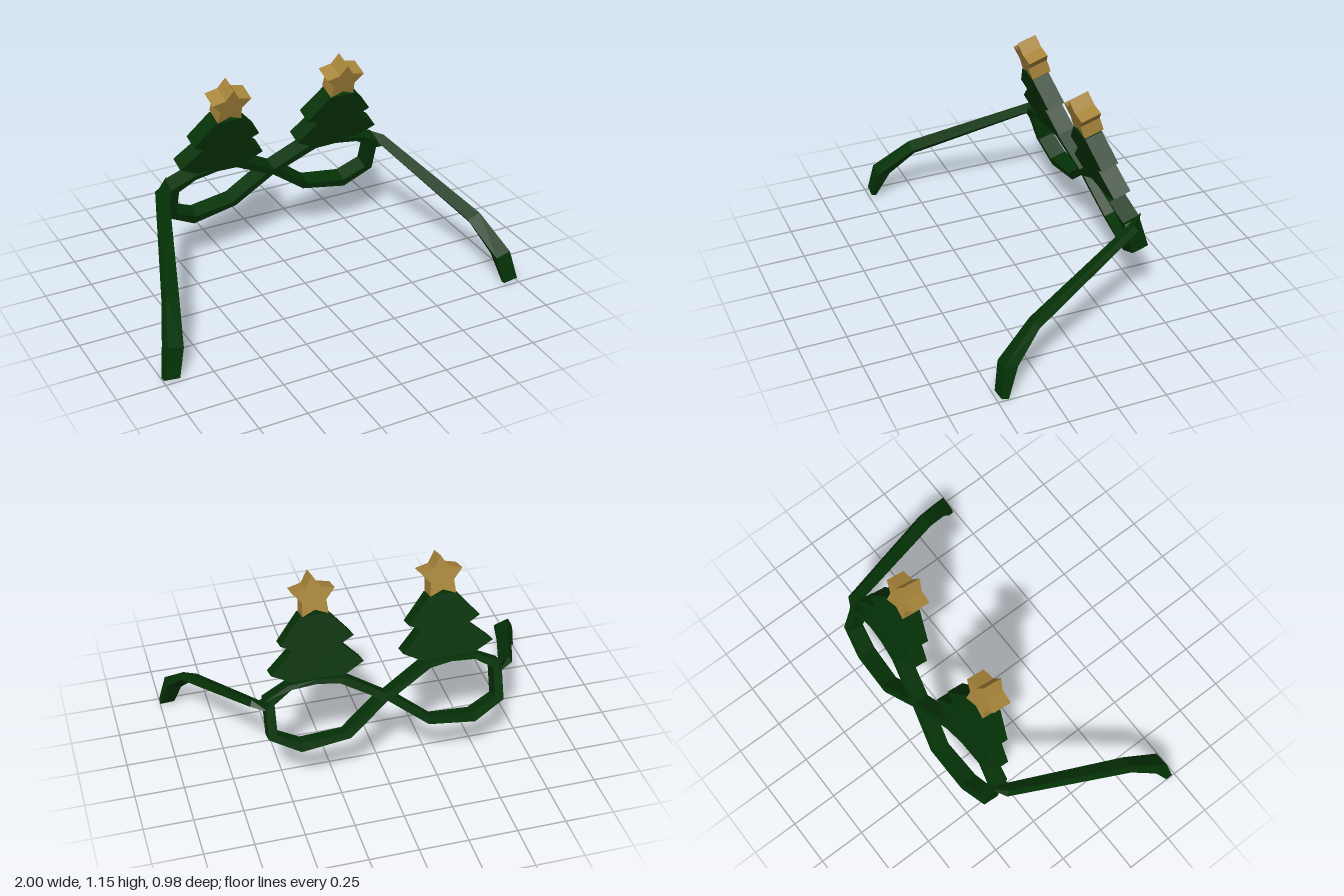
import * as THREE from 'three';

const TILT = 0.3;
const green = new THREE.MeshStandardMaterial({ color: 0x043206 });
green.name = 'dark green';
const gold = new THREE.MeshStandardMaterial({ color: 0xa8853a });
gold.name = 'gold';

function addMesh(parent, name, geometry, material) {
  const mesh = new THREE.Mesh(geometry, material);
  mesh.name = name;
  parent.add(mesh);
}

// Heights are measured upright, then stretched onto the tilted front plane.
// Mirrored outlines are reversed so that they stay counter-clockwise.
function onPlane(points, side) {
  const list = points.map(([x, y]) => new THREE.Vector2(x * side, (y - 0.5) / Math.cos(TILT)));
  return side > 0 ? list : list.reverse();
}

function slab(shape, depth) {
  return new THREE.ExtrudeGeometry(shape, { depth, bevelEnabled: false }).translate(0, 0, -depth);
}

// Faceted lens rim, tapering to the bridge and pushed forward near it
function rimGeometry(side) {
  const outer = [[0, 0.46], [0.2, 0.305], [0.445, 0.27], [0.6, 0.357], [0.6, 0.55],
    [0.48, 0.606], [0.34, 0.618], [0.19, 0.606], [0, 0.495]];
  const inner = [[0.04, 0.478], [0.225, 0.334], [0.435, 0.316], [0.555, 0.374], [0.555, 0.525],
    [0.465, 0.584], [0.34, 0.596], [0.23, 0.584]];
  const shape = new THREE.Shape(onPlane(outer, side));
  shape.holes.push(new THREE.Path(onPlane(inner, side)));
  const geo = slab(shape, 0.087);
  const p = geo.attributes.position;
  for (let i = 0; i < p.count; i++) {
    p.setZ(i, p.getZ(i) - 0.026 * Math.max(0, 1 - (p.getX(i) / 0.44) ** 2));
  }
  geo.computeVertexNormals();
  return geo;
}

// Two-tier tree cut-out, its lower tier leaning slightly outward
function treeGeometry(side) {
  const outline = [[0.142, 0.622], [0.242, 0.67], [0.124, 0.772], [0.182, 0.803], [0.072, 0.93],
    [-0.067, 0.93], [-0.18, 0.803], [-0.116, 0.772], [-0.218, 0.67], [-0.126, 0.622]];
  return slab(new THREE.Shape(onPlane(outline, side)), 0.092);
}

// Thick five-pointed star
function starGeometry() {
  const points = [];
  for (let i = 0; i < 10; i++) {
    const a = Math.PI / 2 + i * Math.PI / 5;
    const r = i % 2 ? 0.062 : 0.11;
    points.push(new THREE.Vector2(r * Math.cos(a), r * Math.sin(a)));
  }
  return slab(new THREE.Shape(points), 0.104);
}

// Temple arm: four-cornered sections from hinge to ear tip
// (upper outer, upper inner, lower inner, lower outer)
function templeGeometry(side) {
  const sections = [
    [[0.585, 0.575, -0.42], [0.585, 0.556, -0.335], [0.585, 0.505, -0.328], [0.585, 0.515, -0.41]],
    [[0.655, 0.558, -0.35], [0.612, 0.528, -0.322], [0.645, 0.5, -0.335], [0.668, 0.535, -0.37]],
    [[0.888, 0.327, 0.267], [0.818, 0.302, 0.267], [0.835, 0.277, 0.255], [0.905, 0.292, 0.252]],
    [[0.963, 0.172, 0.455], [0.882, 0.152, 0.455], [0.89, 0.145, 0.385], [0.966, 0.156, 0.385]],
    [[1, 0.015, 0.482], [0.92, 0.008, 0.486], [0.922, 0, 0.46], [1, 0.006, 0.446]],
  ];
  const out = [];
  const quad = (a, b, c, d) => {
    const order = side > 0 ? [a, b, c, a, c, d] : [a, c, b, a, d, c];
    for (const [x, y, z] of order) out.push(x * side, y, z);
  };
  for (let s = 0; s < sections.length - 1; s++) {
    const here = sections[s], next = sections[s + 1];
    for (let i = 0; i < 4; i++) {
      const j = (i + 1) % 4;
      quad(here[i], here[j], next[j], next[i]);
    }
  }
  const [a, b, c, d] = sections[0];
  quad(d, c, b, a);
  quad(...sections[sections.length - 1]);
  const geo = new THREE.BufferGeometry();
  geo.setAttribute('position', new THREE.Float32BufferAttribute(out, 3));
  geo.computeVertexNormals();
  return geo;
}

export function createModel() {
  const model = new THREE.Group();
  model.name = 'festive glasses';

  // Tilted front with rims, trees and stars
  const front = new THREE.Group();
  front.name = 'frontFrame';
  front.position.set(0, 0.5, -0.333);
  front.rotation.x = TILT;
  model.add(front);

  for (const side of [1, -1]) {
    const label = side > 0 ? 'left' : 'right';
    const x = 0.318 * side;
    addMesh(front, label + 'Rim', rimGeometry(side), green);
    addMesh(front, label + 'Tree', treeGeometry(side).translate(x, 0, -0.003), green);
    addMesh(front, label + 'Star',
      starGeometry().translate(x, (1.015 - 0.5) / Math.cos(TILT), -0.004), gold);
    addMesh(model, label + 'Temple', templeGeometry(side), green);
  }
  return model;
}
